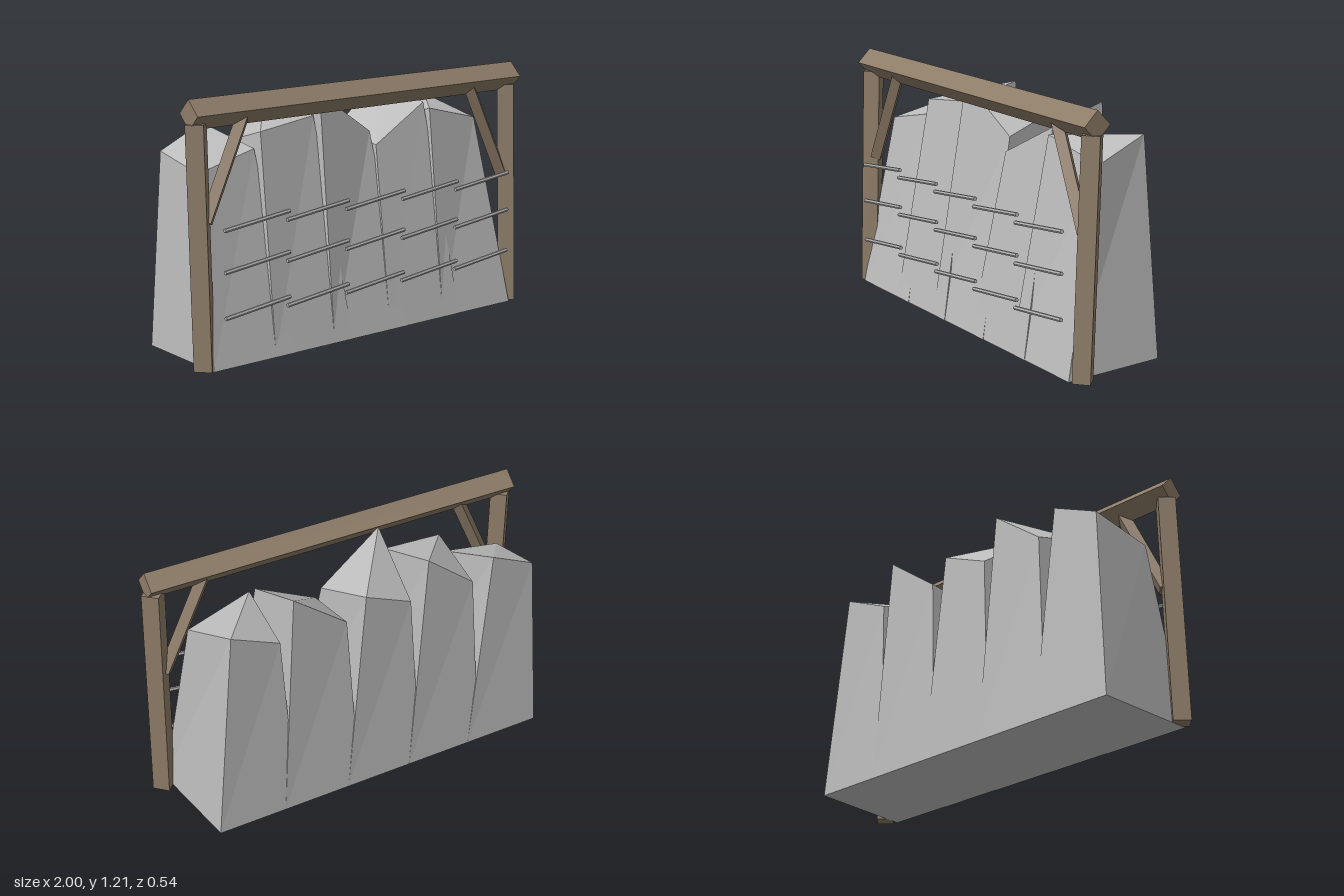
import * as THREE from 'three';

const stone = new THREE.MeshStandardMaterial({ color: 0xbcbcbc });
stone.name = 'pale stone';
const wood = new THREE.MeshStandardMaterial({ color: 0x8e7c68 });
wood.name = 'weathered wood';
const metal = new THREE.MeshStandardMaterial({ color: 0xb0b0b0 });
metal.name = 'grey metal';

// Unshared vertices give every facet its own normal
function faceted(geometry) {
  const g = geometry.index ? geometry.toNonIndexed() : geometry;
  g.computeVertexNormals();
  return g;
}

// Straight prism between two points
function bar(name, from, to, radius, sides, material) {
  const a = new THREE.Vector3(...from);
  const b = new THREE.Vector3(...to);
  const dir = b.clone().sub(a);
  const geometry = new THREE.CylinderGeometry(radius, radius, dir.length(), sides);
  const mesh = new THREE.Mesh(faceted(geometry), material);
  mesh.name = name;
  mesh.position.copy(a).add(b).multiplyScalar(0.5);
  mesh.quaternion.setFromUnitVectors(new THREE.Vector3(0, 1, 0), dir.normalize());
  return mesh;
}

// Tapered slab with an uneven, folded top; corners run FL, FR, BR, BL
function slab(cx, [frontLeft, frontRight, backRight], backRightX) {
  const corners = [
    [-0.235, 0, 0.247], [0.22, 0, 0.25], [0.187, 0, -0.27], [-0.22, 0, -0.27],
    [-0.187, frontLeft, 0.082], [0.145, frontRight, 0.05],
    [backRightX, backRight, -0.25], [-0.168, 0.915, -0.24],
  ];
  const index = [0, 2, 1, 0, 3, 2, 4, 5, 6, 4, 6, 7];
  for (let i = 0; i < 4; i++) {
    const j = (i + 1) % 4;
    index.push(i, j, j + 4, i, j + 4, i + 4);
  }
  const g = new THREE.BufferGeometry();
  g.setAttribute('position', new THREE.Float32BufferAttribute(corners.flat(), 3));
  g.setIndex(index);
  const mesh = new THREE.Mesh(faceted(g), stone);
  mesh.name = 'stoneSlab';
  mesh.position.x = cx;
  return mesh;
}

export function createModel() {
  const model = new THREE.Group();
  model.name = 'stoneWallWithTimberFrame';

  // Five slabs, each with its own top heights and back corner
  const tops = [
    [0.86, 0.93, 1.02], [1.01, 1.045, 1.11], [1.15, 0.935, 1.02],
    [0.87, 1.04, 1.12], [1.012, 0.93, 1.023],
  ];
  const backCorners = [0.07, 0.09, 0.08, 0.11, 0.08];
  tops.forEach((heights, i) => {
    const cx = (i - 2) * 0.345;
    model.add(slab(cx, heights, backCorners[i]));

    // Three slanted rods in front of each slab
    for (const y of [0.654, 0.465, 0.257]) {
      model.add(bar('rod', [cx - 0.18, y - 0.02, 0.264], [cx + 0.18, y + 0.02, 0.264], 0.01, 6, metal));
    }
  });

  // Leaning posts and corner braces, mirrored
  for (const s of [-1, 1]) {
    model.add(bar('post', [s * 0.942, 0.002, 0.198], [s * 0.942, 1.1, 0.163], 0.058, 4, wood));
    model.add(bar('brace', [s * 0.905, 0.66, 0.175], [s * 0.685, 1.12, 0.163], 0.036, 4, wood));
  }

  // Ridge beam set on its edge
  model.add(bar('beam', [-0.978, 1.142, 0.163], [0.978, 1.142, 0.163], 0.068, 4, wood));

  return model;
}
